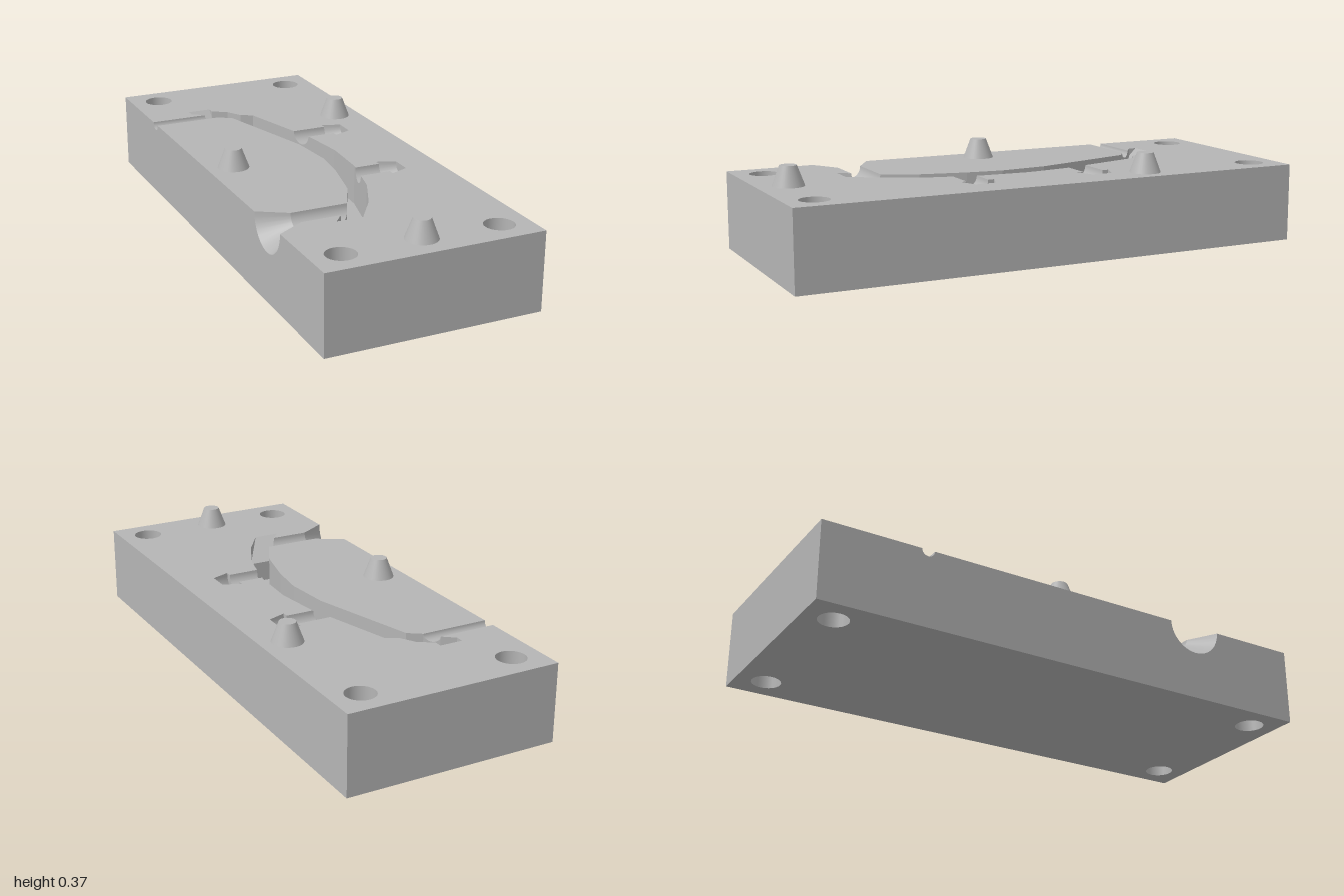
import * as THREE from 'three';

const W = 0.407, TOP = 0.297, FLOOR = TOP - 0.15, SEG = 16;

// Cavity edges as [x, z], running from back to front
const INNER = [[-0.23, -0.69], [-0.23, -0.66], [-0.185, -0.625], [-0.145, -0.575], [-0.095, -0.54],
  [0.02, -0.127], [0.037, 0.06], [0.02, 0.2], [-0.02, 0.376], [-0.095, 0.524], [-0.19, 0.64]];
const OUTER = [[-0.14, -0.69], [-0.14, -0.66], [-0.085, -0.625], [-0.05, -0.565], [-0.005, -0.54],
  [0.095, -0.18], [0.116, -0.01], [0.106, 0.18], [0.058, 0.376], [-0.01, 0.524], [-0.09, 0.64]];
const SIDE = [[-W, -1], [-W, 1]];

const SPRUE = { z: 0.55, r: 0.045, mouth: 0.11, neck: -0.3 };
const VENT = { z: -0.6, r: 0.025 };
const LUG = { r: 0.043, head: 0.067, tip: 0.04, x0: 0.2, x1: 0.27, zs: [-0.24, 0.24] };

// x of an edge at a given z
function xAt(edge, z) {
  for (let i = 0; i < edge.length - 1; i++) {
    const [xa, za] = edge[i], [xb, zb] = edge[i + 1];
    if (z <= zb + 1e-9) return xa + (xb - xa) * (z - za) / (zb - za);
  }
  return edge[edge.length - 1][0];
}

// Part of an edge between two z values, in that direction
function rim(edge, z0, z1) {
  const lo = Math.min(z0, z1), hi = Math.max(z0, z1);
  const mid = edge.filter(([, z]) => z > lo + 1e-6 && z < hi - 1e-6);
  const pts = [[xAt(edge, lo), lo], ...mid, [xAt(edge, hi), hi]];
  return z0 < z1 ? pts : pts.reverse();
}

// Skin between rows of [x, y, z] points
function grid(rows, smooth = false) {
  const n = rows[0].length, index = [];
  for (let i = 0; i < rows.length - 1; i++) {
    for (let j = 0; j < n - 1; j++) {
      const p = i * n + j, r = p + n;
      index.push(p, r, p + 1, p + 1, r, r + 1);
    }
  }
  let geo = new THREE.BufferGeometry();
  geo.setAttribute('position', new THREE.Float32BufferAttribute(rows.flat(2), 3));
  geo.setIndex(index);
  if (!smooth) geo = geo.toNonIndexed();
  geo.computeVertexNormals();
  return geo;
}

// Top line of a wall, dipping round every half-round notch [z, r]
function notchedTop(edge, notches) {
  const zs = edge.map(p => p[1]);
  for (const [zc, r] of notches) {
    for (let i = 0; i <= SEG; i++) zs.push(zc + r * Math.cos(Math.PI * i / SEG));
  }
  zs.sort((a, b) => a - b);
  return zs.map(z => {
    let y = TOP;
    for (const [zc, r] of notches) y = Math.min(y, TOP - Math.sqrt(Math.max(0, r * r - (z - zc) ** 2)));
    return [xAt(edge, z), y, z];
  });
}

const drop = (line, y) => [line, line.map(p => [p[0], y, p[2]])];

export function createModel() {
  const group = new THREE.Group();
  const grey = new THREE.MeshStandardMaterial({ color: 0xb5b5b5, side: THREE.DoubleSide });
  grey.name = 'plain grey';
  const add = (name, geo, x = 0, y = 0, z = 0) => {
    const mesh = new THREE.Mesh(geo, grey);
    mesh.name = name;
    mesh.position.set(x, y, z);
    group.add(mesh);
  };

  const bolts = [];
  for (const x of [-0.295, 0.295]) for (const z of [-0.888, 0.888]) bolts.push([x, z]);

  // Flat horizontal face, facing up (dir 1) or down (dir -1)
  const plate = (name, pts, y, dir, holes = []) => {
    const shape = new THREE.Shape(pts.map(([x, z]) => new THREE.Vector2(x, -dir * z)));
    for (const [x, z] of holes) {
      shape.holes.push(new THREE.Path().absarc(x, -dir * z, 0.055, 0, Math.PI * 2, true));
    }
    add(name, new THREE.ShapeGeometry(shape, 16).rotateX(-dir * Math.PI / 2), 0, y, 0);
  };

  // Underside and top faces, cut round the cavity and its channels
  plate('underside', [[-W, -1], [W, -1], [W, 1], [-W, 1]], 0, -1, bolts);
  const lugOutline = zc => [
    [LUG.x0, zc + LUG.r], [LUG.x0, zc + LUG.head], [LUG.x1, zc + LUG.tip],
    [LUG.x1, zc - LUG.tip], [LUG.x0, zc - LUG.head], [LUG.x0, zc - LUG.r]];
  const [lugBack, lugFront] = LUG.zs;
  plate('topFace', [
    [-W, -1], [W, -1], [W, 1], [-W, 1],
    [-W, SPRUE.z + SPRUE.mouth], [SPRUE.neck, SPRUE.z + SPRUE.r],
    ...rim(INNER, SPRUE.z + SPRUE.r, 0.64),
    ...rim(OUTER, 0.64, lugFront + LUG.r), ...lugOutline(lugFront),
    ...rim(OUTER, lugFront - LUG.r, lugBack + LUG.r), ...lugOutline(lugBack),
    ...rim(OUTER, lugBack - LUG.r, -0.69),
    ...rim(INNER, -0.69, VENT.z - VENT.r), [-W, VENT.z - VENT.r],
  ], TOP, 1, bolts);
  plate('islandTop', [
    [-W, SPRUE.z - SPRUE.mouth], [SPRUE.neck, SPRUE.z - SPRUE.r],
    ...rim(INNER, SPRUE.z - SPRUE.r, VENT.z + VENT.r), [-W, VENT.z + VENT.r],
  ], TOP, 1);

  // Block sides, notched on the left where the channels come out
  const sideTop = notchedTop(SIDE, [[SPRUE.z, SPRUE.mouth], [VENT.z, VENT.r]]);
  add('blockSides', grid(drop([...sideTop, [W, TOP, 1], [W, TOP, -1], [-W, TOP, -1]], 0)));

  // Bolt holes
  for (const [x, z] of bolts) {
    const geo = new THREE.CylinderGeometry(0.055, 0.055, TOP, 32, 1, true);
    geo.scale(-1, 1, 1);
    geo.attributes.normal.array.forEach((v, i, a) => { if (i % 3 !== 1) a[i] = -v; });
    geo.attributes.normal.array.forEach((v, i, a) => { if (i % 3 === 0) a[i] = v; });
    add('boltHole', geo, x, TOP / 2, z);
  }

  // Cavity walls
  const innerTop = notchedTop(INNER, [[SPRUE.z, SPRUE.r], [VENT.z, VENT.r]]).reverse();
  const outerTop = notchedTop(OUTER, LUG.zs.map(z => [z, LUG.r]));
  add('innerCavityWall', grid(drop(innerTop, FLOOR)));
  add('outerCavityWall', grid(drop(outerTop, FLOOR)));

  // Cavity floor: steep back ramp, flat bed, gentle front ramp with a step
  const bed = (name, z0, z1, y0, y1) => {
    const zs = [...new Set([...INNER, ...OUTER].map(p => p[1]))]
      .filter(z => z >= z0 && z <= z1).sort((a, b) => a - b);
    const row = edge => zs.map(z => [xAt(edge, z), y0 + (y1 - y0) * (z - z0) / (z1 - z0), z]);
    add(name, grid([row(OUTER), row(INNER)]));
  };
  const LIP = TOP - 0.07;
  bed('backRamp', -0.69, -0.54, TOP, FLOOR);
  bed('cavityFloor', -0.54, 0.524, FLOOR, FLOOR);
  bed('frontRamp', 0.524, 0.64, LIP, TOP);
  add('rampStep', grid(drop([[-0.01, LIP, 0.524], [-0.095, LIP, 0.524]], FLOOR)));

  // Half-round channels; a station is [x or edge, radius]
  const channel = (name, zc, stations) => {
    const rows = stations.map(([x, r]) => Array.from({ length: SEG + 1 }, (_, i) => {
      const t = Math.PI * i / SEG, z = zc + r * Math.cos(t);
      return [Array.isArray(x) ? xAt(x, z) : x, TOP - r * Math.sin(t), z];
    }));
    for (let i = 0; i < rows.length - 1; i++) add(name, grid([rows[i], rows[i + 1]], true));
  };
  channel('pouringFunnel', SPRUE.z, [[-W, SPRUE.mouth], [SPRUE.neck, SPRUE.r], [INNER, SPRUE.r]]);
  channel('ventChannel', VENT.z, [[-W, VENT.r], [INNER, VENT.r]]);
  for (const z of LUG.zs) {
    channel('lugPocket', z, [[OUTER, LUG.r], [LUG.x0, LUG.r], [LUG.x0, LUG.head],
      [LUG.x1, LUG.tip], [LUG.x1, 0]]);
  }

  // Tapered alignment pegs
  for (const [x, z] of [[0.305, -0.405], [-0.307, 0], [0, 0.885]]) {
    add('alignmentPeg', new THREE.CylinderGeometry(0.031, 0.059, 0.075, 32), x, TOP + 0.0375, z);
  }
  return group;
}
